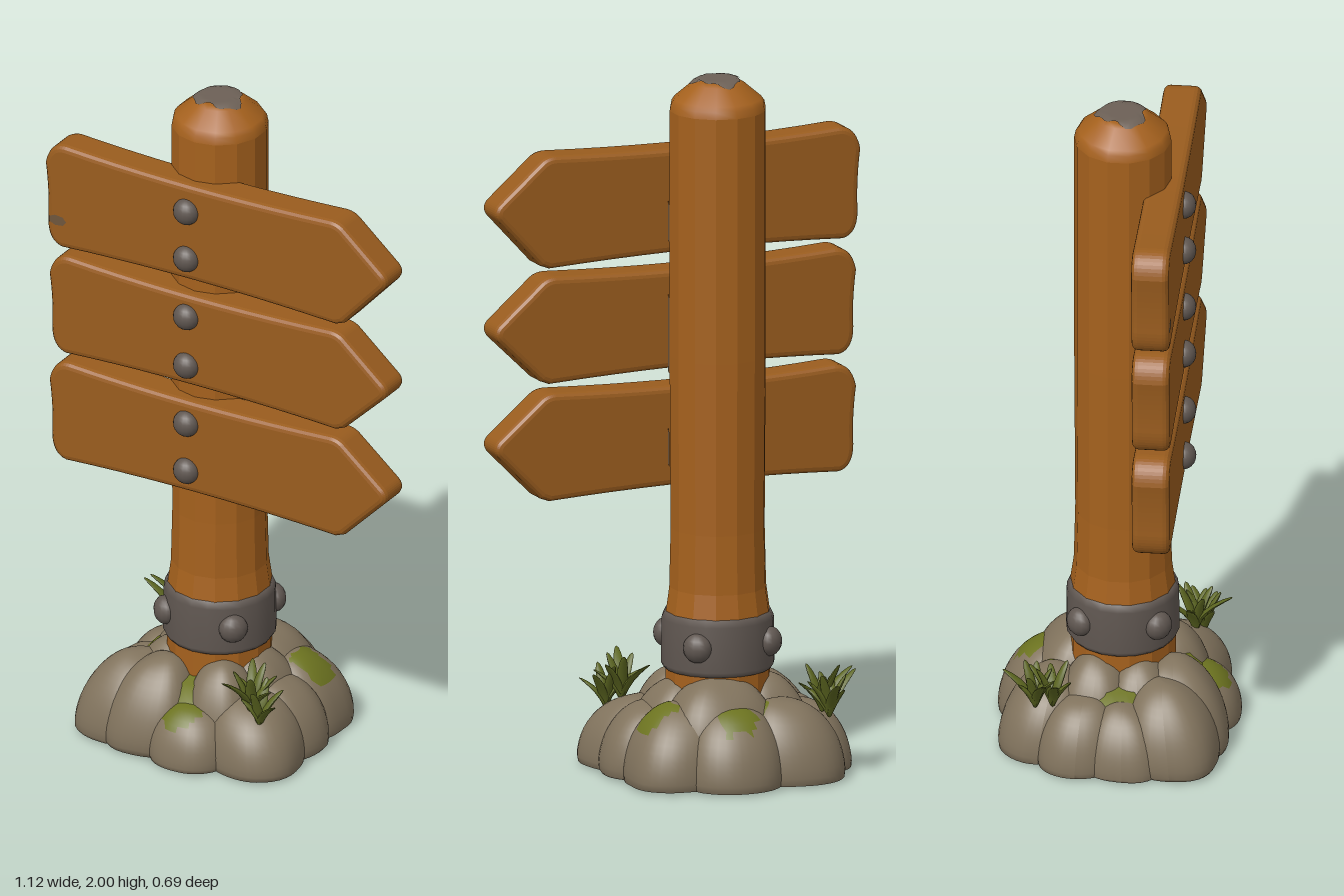
import * as THREE from 'three';

const mat = (name, color, side = THREE.FrontSide) => {
  const m = new THREE.MeshStandardMaterial({ color, side });
  m.name = name;
  return m;
};

export function createModel() {
  const wood = mat('post wood', 0xa5611d);
  const board = mat('board wood', 0x995c1e);
  const worn = mat('worn wood', 0x6e553c, THREE.DoubleSide);
  const grey = mat('weathered grey', 0x6c6056);
  const metal = mat('dark metal', 0x605751);
  const stone = mat('stone', 0x81735d);
  const moss = mat('moss', 0x6c7320);
  const grass = mat('grass', 0x5c6620, THREE.DoubleSide);

  const model = new THREE.Group();
  const PX = -0.09, PZ = 0.01; // post axis
  const add = (name, geo, material, x = 0, y = 0, z = 0, parent = model) => {
    const m = new THREE.Mesh(geo, material);
    m.name = name;
    m.position.set(x, y, z);
    parent.add(m);
    return m;
  };
  const lathe = (pts, n) => new THREE.LatheGeometry(pts.map(p => new THREE.Vector2(...p)), n);

  // Post: faceted shaft with a flared foot, and a smooth chamfered top
  const shaft = lathe([[0.15, 0.1], [0.15, 0.45], [0.139, 0.53], [0.135, 0.7], [0.138, 1.2], [0.138, 1.91]], 14).toNonIndexed();
  shaft.computeVertexNormals();
  add('post', shaft, wood, PX, 0, PZ);
  add('postTop', lathe([[0.138, 1.91], [0.134, 1.93], [0.125, 1.943], [0.075, 1.986], [0.06, 1.995], [0, 1.997]], 14), wood, PX, 0, PZ);

  // Irregular weathered patch draped over the post top
  const patch = new THREE.RingGeometry(0.001, 1, 32, 5).rotateX(-Math.PI / 2);
  const pp = patch.attributes.position;
  for (let i = 0; i < pp.count; i++) {
    const a = Math.atan2(pp.getZ(i), pp.getX(i));
    const r = 0.069 + 0.009 * Math.sin(3 * a + 0.2) + 0.005 * Math.sin(7 * a);
    const x = pp.getX(i) * r, z = pp.getZ(i) * r;
    pp.setXYZ(i, x, 2 - Math.max(0, Math.hypot(x, z) - 0.06) * 0.72, z);
  }
  patch.computeVertexNormals();
  add('postTopWear', patch, grey, PX, 0, PZ);

  // Scuffs on the post beside the boards
  for (const [y0, y1] of [[1.53, 1.64], [1.15, 1.37], [0.88, 0.98]])
    add('postScuff', new THREE.CylinderGeometry(0.1395, 0.1395, y1 - y0, 8, 1, true, 1.05, 0.32),
      worn, PX, (y0 + y1) / 2, PZ);

  // Iron band with four diagonal studs
  const band = new THREE.Group();
  band.name = 'band';
  band.position.set(PX, 0, PZ);
  model.add(band);
  add('bandRing', lathe([[0.14, 0.3], [0.152, 0.295], [0.161, 0.31], [0.159, 0.44], [0.15, 0.46], [0.13, 0.462]], 20),
    metal, 0, 0, 0, band);
  for (let i = 0; i < 4; i++) {
    const a = Math.PI / 4 + i * Math.PI / 2;
    const s = add('bandStud', new THREE.SphereGeometry(0.042, 14, 10), metal,
      Math.cos(a) * 0.158, 0.38, Math.sin(a) * 0.158, band);
    s.rotation.y = -a;
    s.scale.x = 0.8;
  }

  // Arrow boards: bowed outline, rounded tail, pointed tip, soft bevel
  const B = 0.018;
  const arrow = (name, bot, top, tail, tipY, studs) => {
    const t = top - B, b = bot + B, l = tail + B;
    const s = new THREE.Shape();
    s.moveTo(l + 0.04, b);
    s.quadraticCurveTo(-0.09, b + 0.024, 0.39, b);
    s.lineTo(0.41, b + 0.008);
    s.lineTo(0.535, tipY - 0.012);
    s.quadraticCurveTo(0.548, tipY, 0.535, tipY + 0.012);
    s.lineTo(0.41, t - 0.012);
    s.quadraticCurveTo(0.395, t + 0.002, 0.37, t);
    s.quadraticCurveTo(-0.09, t - 0.026, l + 0.05, t);
    s.quadraticCurveTo(l + 0.01, t, l, t - 0.05);
    s.quadraticCurveTo(l + 0.012, (t + b) / 2, l + 0.008, b + 0.06);
    s.quadraticCurveTo(l + 0.008, b + 0.005, l + 0.04, b);
    const g = new THREE.ExtrudeGeometry(s, {
      depth: 0.107 - 2 * B, bevelEnabled: true, bevelThickness: B, bevelSize: B, bevelSegments: 3, curveSegments: 10,
    });
    add(name, g, board, 0, 0, 0.078 + B);
    for (const y of studs) {
      const m = add('boardStud', new THREE.SphereGeometry(0.039, 18, 12), metal, -0.095, y, 0.184);
      m.scale.z = 0.88;
    }
  };
  arrow('topBoard', 1.475, 1.8, -0.565, 1.65, [1.705, 1.555]);
  arrow('middleBoard', 1.14, 1.45, -0.552, 1.3, [1.37, 1.215]);
  arrow('bottomBoard', 0.8, 1.112, -0.552, 0.965, [1.03, 0.88]);

  // Dent at the tail of the top board
  const dent = add('boardDent', new THREE.CircleGeometry(0.03, 7), worn, -0.52, 1.562, 0.186);
  dent.scale.y = 0.55;

  // Rocks: rounded boulders leaning in towards the post, cut flat at the ground, some mossy
  const base = new THREE.Group();
  base.name = 'rockBase';
  model.add(base);
  const rock = (x, y, z, rx, ry, rz, mossDir, spread = 0.86) => {
    const g = new THREE.SphereGeometry(1, 36, 24);
    const p = g.attributes.position, v = new THREE.Vector3();
    const dir = mossDir && new THREE.Vector3(...mossDir).normalize();
    const mossy = [];
    for (let i = 0; i < p.count; i++) {
      v.fromBufferAttribute(p, i);
      mossy.push(!!dir && v.dot(dir) > spread + 0.03 * Math.sin(v.x * 9 + v.z * 7));
      const k = Math.pow(Math.abs(v.x) ** 2.4 + Math.abs(v.y) ** 2.4 + Math.abs(v.z) ** 2.4, -1 / 2.4);
      const w = k * (1 + 0.025 * Math.sin(v.x * 4 + x * 30) * Math.cos(v.z * 4 + z * 30));
      const h = Math.max(v.y * w * ry + y, 0.006);
      const lean = 1.03 - 0.25 * Math.pow(h / 0.28, 1.5);
      p.setXYZ(i, PX + (x + v.x * w * rx - PX) * lean, h, (z + v.z * w * rz) * lean);
    }
    g.computeVertexNormals();
    const parts = [[], []], idx = g.index.array;
    for (let i = 0; i < idx.length; i += 3) {
      const f = [idx[i], idx[i + 1], idx[i + 2]];
      parts[f.every(n => mossy[n]) ? 1 : 0].push(...f);
    }
    g.setIndex([...parts[0], ...parts[1]]);
    g.addGroup(0, parts[0].length, 0);
    g.addGroup(parts[0].length, parts[1].length, 1);
    add('rock', g, [stone, moss], 0, 0, 0, base);
  };
  // outer ring
  rock(-0.31, 0.08, 0.17, 0.125, 0.16, 0.13);
  rock(-0.2, 0.09, 0.2, 0.13, 0.17, 0.12);
  rock(-0.05, 0.05, 0.23, 0.12, 0.12, 0.105, [-0.1, 1, 0.5], 0.82);
  rock(0.12, 0.06, 0.16, 0.13, 0.14, 0.13);
  rock(0.13, 0.07, 0.03, 0.12, 0.14, 0.12);
  rock(0.1, 0.07, -0.12, 0.135, 0.16, 0.14, [0.7, 1, 0], 0.87);
  rock(-0.04, 0.07, -0.21, 0.14, 0.16, 0.13, [0.1, 1, -0.6], 0.87);
  rock(-0.23, 0.07, -0.2, 0.14, 0.16, 0.12, [0.9, 0.8, 0.1], 0.84);
  rock(-0.34, 0.06, -0.09, 0.095, 0.14, 0.11);
  rock(-0.35, 0.05, 0.04, 0.095, 0.14, 0.11, [0.7, 1, 0], 0.85);
  // inner ring
  rock(0.01, 0.14, 0.16, 0.1, 0.135, 0.1);
  rock(0.04, 0.13, 0.02, 0.13, 0.145, 0.13);
  rock(-0.03, 0.15, -0.13, 0.17, 0.145, 0.14);
  rock(-0.23, 0.13, -0.06, 0.12, 0.15, 0.11);
  rock(-0.22, 0.12, 0.08, 0.12, 0.15, 0.11);

  // Moss mound showing in the gaps, with a mossy underside and bare spots
  const mound = add('mossMound', lathe([[0.3, 0.005], [0.295, 0.06], [0.26, 0.14], [0.2, 0.21], [0, 0.24]], 32), moss, -0.095, 0, 0, base);
  mound.scale.x = 1.04;
  const under = new THREE.CircleGeometry(1, 32).rotateX(Math.PI / 2);
  add('mossUnderside', under, moss, -0.095, 0.003, 0, base).scale.set(0.325, 1, 0.315);
  for (const [x, z, rx, rz] of [[-0.28, 0.1, 0.08, 0.06], [-0.1, -0.16, 0.1, 0.06], [0.07, 0.06, 0.07, 0.08], [-0.12, 0.12, 0.06, 0.08], [-0.29, -0.13, 0.06, 0.07]])
    add('undersideStone', under, stone, x, 0, z, base).scale.set(rx, 1, rz);

  // Grass tufts: broad bent blades fanned around a root
  const tuft = (x, y, z, n, len, turn) => {
    const g = new THREE.Group();
    g.name = 'grassTuft';
    g.position.set(x, y, z);
    model.add(g);
    for (let i = 0; i < n; i++) {
      const blade = new THREE.SphereGeometry(1, 8, 8);
      const p = blade.attributes.position;
      const l = len * (0.75 + 0.4 * Math.abs(Math.sin(i * 2.3 + 1)));
      const lean = 0.25 + 0.4 * ((i * 5) % 3) / 2;
      for (let k = 0; k < p.count; k++) {
        const t = (p.getY(k) + 1) / 2;
        p.setXYZ(k, p.getX(k) * 0.016, t * l, p.getZ(k) * 0.009 + lean * l * t * t);
      }
      blade.computeVertexNormals();
      add('grassBlade', blade, grass, 0, 0, 0, g).rotation.set(0.12, turn + i * Math.PI * 2 / n, 0, 'YXZ');
    }
  };
  tuft(-0.335, 0.17, -0.215, 9, 0.12, 0.2);
  tuft(-0.335, 0.175, -0.165, 6, 0.13, 0.7);
  tuft(0.125, 0.17, 0.195, 8, 0.13, 0.5);
  tuft(0.165, 0.15, 0.215, 6, 0.12, 0.1);
  return model;
}
